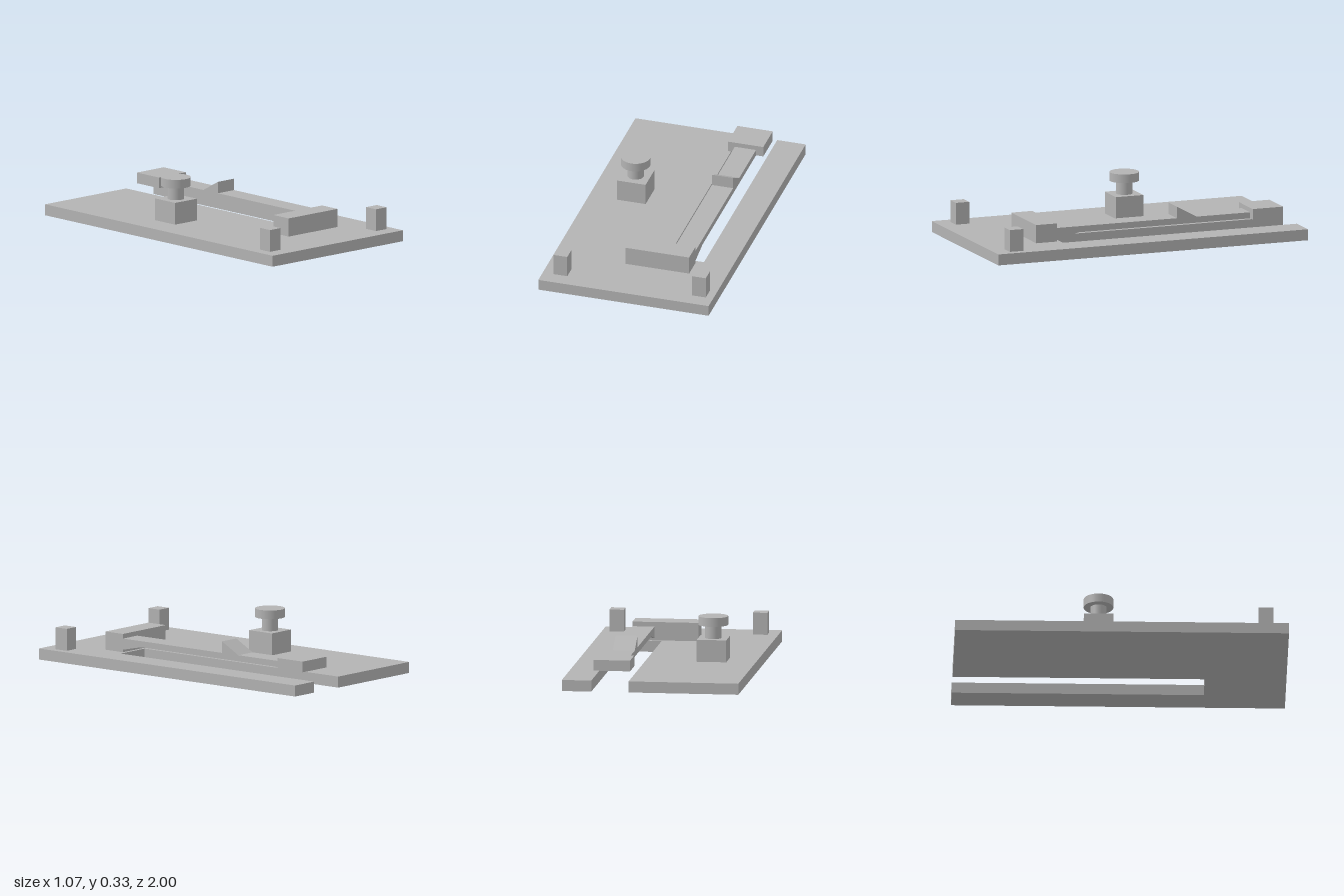
import * as THREE from 'three';

export function createModel() {
  const model = new THREE.Group();
  const grey = new THREE.MeshStandardMaterial({ color: 0xb3b3b3 });
  grey.name = 'grey';

  const add = (name, geometry) => {
    const mesh = new THREE.Mesh(geometry, grey);
    mesh.name = name;
    model.add(mesh);
    return mesh;
  };
  // Box given by its limits on each axis
  const box = (name, x0, x1, y0, y1, z0, z1) =>
    add(name, new THREE.BoxGeometry(x1 - x0, y1 - y0, z1 - z0))
      .position.set((x0 + x1) / 2, (y0 + y1) / 2, (z0 + z1) / 2);
  const shape = (points) => new THREE.Shape(points.map(([x, y]) => new THREE.Vector2(x, y)));
  const extrude = (points, depth) =>
    new THREE.ExtrudeGeometry(shape(points), { depth, bevelEnabled: false });

  const top = 0.067;

  // Base plate with a slot open at the back; outline drawn in (x, -z)
  const plate = extrude([
    [-0.533, -1], [0.533, -1], [0.533, 1], [0.355, 1],
    [0.355, -0.51], [0.13, -0.51], [0.13, 1], [-0.533, 1],
  ], top);
  plate.rotateX(-Math.PI / 2);
  add('basePlate', plate);

  // Corner posts at the front
  box('rightPost', -0.467, -0.38, top, 0.2, 0.82, 0.907);
  box('leftPost', 0.4, 0.487, top, 0.2, 0.82, 0.907);

  // Spring arm with a catch ramp; profile drawn in (-z, y)
  const arm = extrude([
    [-0.54, 0.08], [-0.39, 0.113], [0.72, 0.113], [0.72, 0.15],
    [0.37, 0.15], [0.243, 0.22], [0.243, 0.15], [-0.54, 0.15],
  ], 0.133);
  arm.rotateY(Math.PI / 2);
  add('springArm', arm).position.x = 0.176;

  // Block holding the arm, and the finger tab at its free end
  box('armMount', -0.09, 0.309, top, 0.178, 0.53, 0.665);
  box('fingerTab', 0.133, 0.354, 0.113, 0.178, -0.91, -0.715);

  // Knob on a square pedestal
  const kx = -0.268, kz = -0.135;
  box('knobPedestal', kx - 0.089, kx + 0.089, top, 0.2, kz - 0.089, kz + 0.089);
  const disc = (name, r, y0, y1) =>
    add(name, new THREE.CylinderGeometry(r, r, y1 - y0, 48)).position.set(kx, (y0 + y1) / 2, kz);
  disc('knobStem', 0.049, 0.2, 0.28);
  disc('knobCap', 0.089, 0.28, 0.333);

  return model;
}
